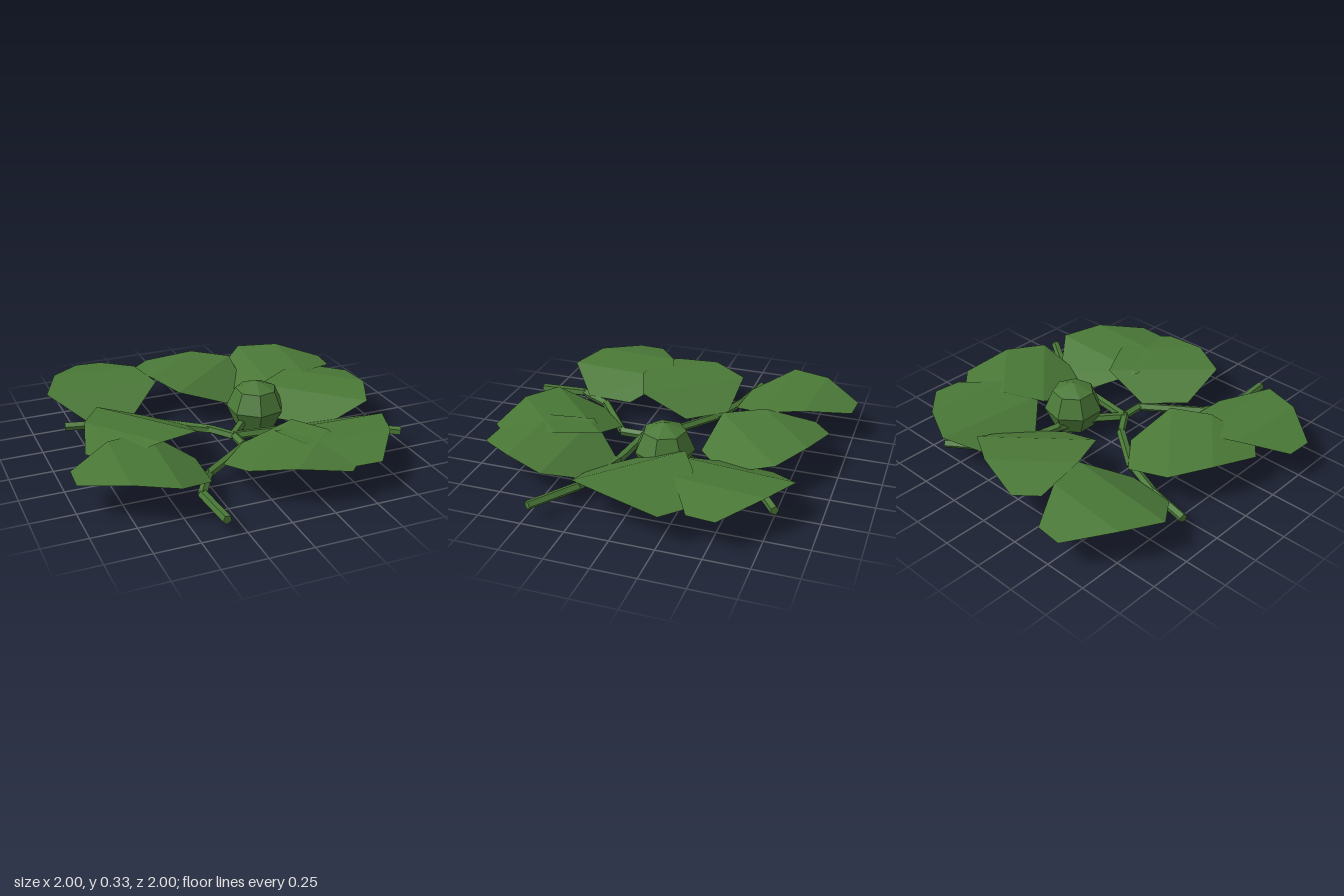
import * as THREE from 'three';

const green = new THREE.MeshStandardMaterial({ color: 0x4a7837, flatShading: true });
green.name = 'leafGreen';
const leafGreen = new THREE.MeshStandardMaterial({ color: 0x4a7837, flatShading: true, side: THREE.DoubleSide });
leafGreen.name = 'leafGreenTwoSided';

// Leaf folded into three strips: [half width, height, distance from tip]
const LEAF_ROWS = [[0.08, 0.198, 0], [0.256, 0.246, 0.243], [0.338, 0.226, 0.483], [0.14, 0.122, 0.705]];

function leafGeometry() {
  const positions = [], index = [];
  LEAF_ROWS.forEach(([w, y, d], i) => {
    positions.push(-w, y, d, w, y, d);
    if (i > 0) {
      const a = 2 * (i - 1);
      index.push(a, a + 2, a + 1, a + 1, a + 2, a + 3);
    }
  });
  const g = new THREE.BufferGeometry();
  g.setAttribute('position', new THREE.Float32BufferAttribute(positions, 3));
  g.setIndex(index);
  g.computeVertexNormals();
  return g;
}

// Vine made of straight five-sided pieces that meet at the bends
function vine(name, points, radius = 0.026) {
  const group = new THREE.Group();
  group.name = name;
  const up = new THREE.Vector3(0, 1, 0);
  for (let i = 0; i < points.length - 1; i++) {
    const a = new THREE.Vector3(points[i][0], 0.098, points[i][1]);
    const b = new THREE.Vector3(points[i + 1][0], 0.098, points[i + 1][1]);
    const dir = b.clone().sub(a);
    const overlap = i < points.length - 2 ? 0.012 : 0;
    const length = dir.length() + overlap;
    dir.normalize();
    const piece = new THREE.Mesh(new THREE.CylinderGeometry(radius, radius, length, 5), green);
    piece.name = 'vinePiece';
    piece.quaternion.setFromUnitVectors(up, dir);
    piece.position.copy(a).addScaledVector(dir, length / 2);
    group.add(piece);
  }
  return group;
}

export function createModel() {
  const model = new THREE.Group();
  model.name = 'melonPlant';

  // Leaves: tip x, tip z, then direction from tip to base (x, z)
  const leaves = [
    [-0.51, -0.997, -0.09, 0.995],
    [-0.20, -0.86, 0.65, 0.76],
    [0.945, -0.47, -0.995, -0.1],
    [-0.82, 0.305, 0.77, -0.63],
    [0.94, -0.32, -0.69, 0.72],
    [-0.998, 0.475, 1, 0.05],
    [0.42, 0.9, -0.7, -0.71],
    [0.485, 0.915, 0.04, -1],
  ];
  const geometry = leafGeometry();
  leaves.forEach(([x, z, dx, dz], i) => {
    const leaf = new THREE.Mesh(geometry, leafGreen);
    leaf.name = 'leaf' + (i + 1);
    leaf.position.set(x, 0, z);
    leaf.rotation.y = Math.atan2(dx, dz);
    model.add(leaf);
  });

  // Creeping vines
  model.add(
    vine('leftBackVine', [[0.04, 0.3], [0.04, 0.16], [-0.06, 0.02], [-0.32, -0.18], [-0.57, -0.28], [-0.84, -0.34]]),
    vine('frontVine', [[0.04, 0.29], [-0.27, 0.52], [-0.38, 0.71], [-0.36, 0.997]]),
    vine('rightVine', [[0.03, 0.15], [0.36, 0.19], [0.7, 0.29], [0.965, 0.47]]),
    vine('fruitVine', [[0.03, 0.15], [0.15, 0.01], [0.24, -0.2], [0.28, -0.4], [0.39, -0.62], [0.6, -0.77]]),
  );

  // Round faceted fruit
  const fruit = new THREE.Mesh(new THREE.SphereGeometry(0.175, 7, 4), green);
  fruit.name = 'fruit';
  fruit.scale.y = 0.94;
  fruit.rotation.y = Math.PI;
  fruit.position.set(0.265, 0.1645, -0.05);
  model.add(fruit);

  return model;
}
